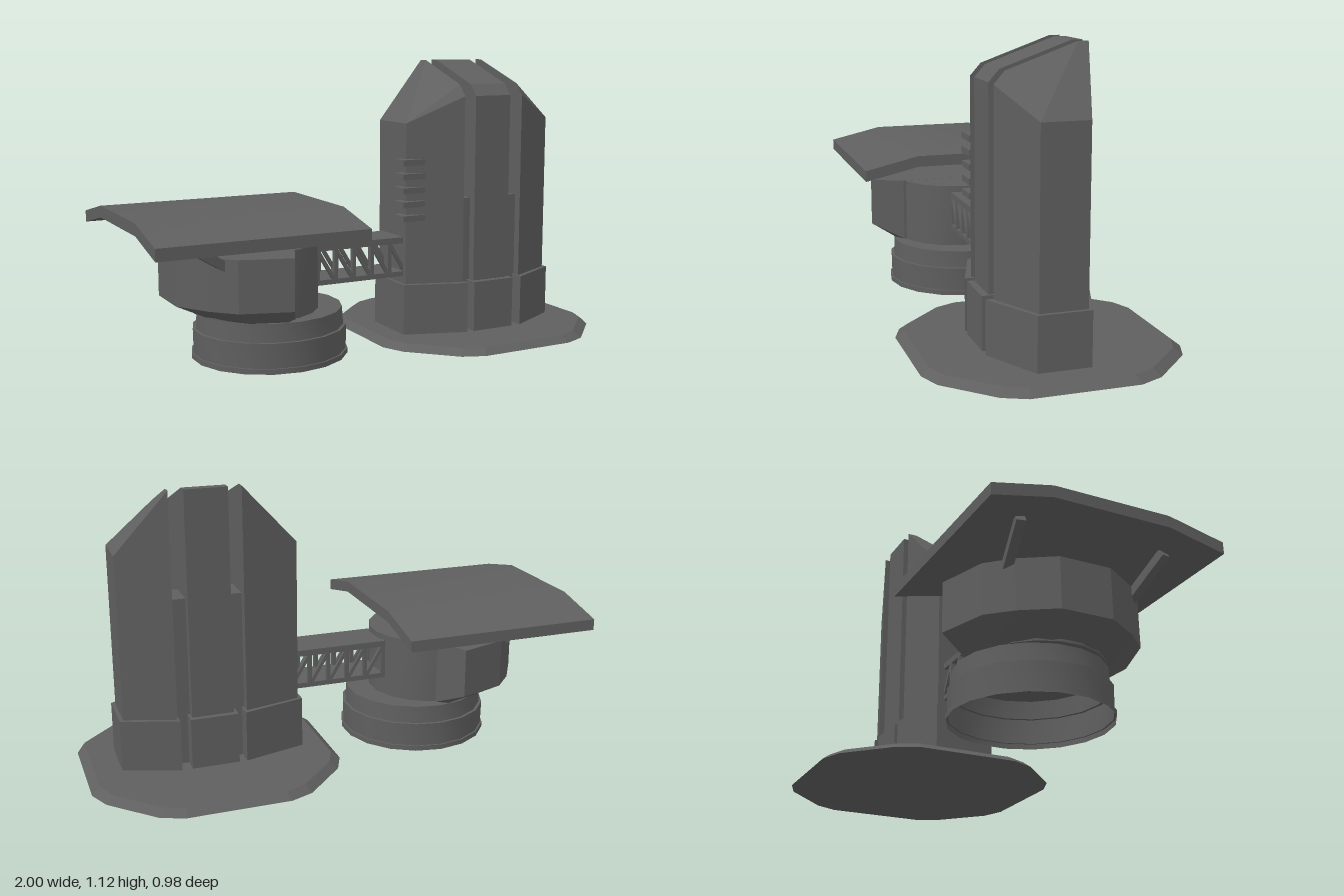
import * as THREE from 'three';
import { ConvexGeometry } from 'three/addons/geometries/ConvexGeometry.js';
import { toCreasedNormals } from 'three/addons/utils/BufferGeometryUtils.js';

const mat = new THREE.MeshStandardMaterial({ color: 0x5f5f5f, side: THREE.DoubleSide });
const V = (x, y, z) => new THREE.Vector3(x, y, z);

export function createModel() {
  const model = new THREE.Group();

  const group = (name) => {
    const g = new THREE.Group();
    g.name = name;
    model.add(g);
    return g;
  };
  const add = (name, geometry, parent = model) => {
    const mesh = new THREE.Mesh(geometry, mat);
    mesh.name = name;
    parent.add(mesh);
    return mesh;
  };
  const hull = (name, points, parent) => add(name, new ConvexGeometry(points), parent);
  // Box given by its limits on each axis
  const box = (name, x0, x1, y0, y1, z0, z1, parent) => {
    const mesh = add(name, new THREE.BoxGeometry(x1 - x0, y1 - y0, z1 - z0), parent);
    mesh.position.set((x0 + x1) / 2, (y0 + y1) / 2, (z0 + z1) / 2);
    return mesh;
  };
  // Square bar between two points
  const beam = (name, a, b, size, parent) => {
    const mesh = add(name, new THREE.BoxGeometry(size, size, a.distanceTo(b)), parent);
    mesh.position.copy(a).add(b).multiplyScalar(0.5);
    mesh.lookAt(b);
    return mesh;
  };

  // Landing platform: chamfered octagon with a bevelled rim
  const rim = [];
  for (const [a, b] of [[0.495, 0.2], [0.455, 0.29], [0.29, 0.455], [0.2, 0.49]])
    for (const sx of [-1, 1])
      for (const sz of [-1, 1])
        rim.push(V(0.505 + sx * a, 0, sz * b), V(0.505 + sx * a * 0.935, 0.025, sz * b * 0.935));
  hull('platform', rim);

  // Tower: [z, y] roof profile shared by the middle and the side shafts
  const tower = group('tower');
  const roof = [[0.213, 0.02], [0.213, 0.985], [0.173, 1.03], [-0.09, 1.123], [-0.13, 1.123], [-0.13, 0.02]];
  const outline = (z0, z1, y0, y1) => [[z1, y0], [z1, y1], [z0, y1], [z0, y0]];
  const shaft = (name, x0, x1, p0, p1) =>
    hull(name, [...p0.map(([z, y]) => V(x0, y, z)), ...p1.map(([z, y]) => V(x1, y, z))], tower);
  shaft('middleShaft', 0.425, 0.592, roof, roof);
  shaft('rightShaft', 0.145, 0.373, outline(-0.075, 0.14, 0.02, 0.88), roof);
  shaft('leftShaft', 0.65, 0.848, roof, outline(-0.065, 0.115, 0.02, 0.88));

  // Plinth under each shaft
  const wide = outline(-0.152, 0.24, 0.01, 0.23);
  shaft('middlePlinth', 0.413, 0.602, wide, wide);
  shaft('rightPlinth', 0.13, 0.382, outline(-0.085, 0.155, 0.01, 0.23), wide);
  shaft('leftPlinth', 0.643, 0.863, wide, outline(-0.075, 0.125, 0.01, 0.23));

  // Recessed fillers between the shafts, lower at the front
  for (const x of [0.398, 0.622]) {
    box('rearFiller', x - 0.035, x + 0.035, 0.01, 0.7, -0.09, 0.04, tower);
    box('frontFiller', x - 0.035, x + 0.035, 0.01, 0.57, 0.04, 0.18, tower);
  }

  // Cooling fins on the tower corner
  for (let i = 0; i < 5; i++) {
    const y = 0.49 + i * 0.056;
    box('fin', 0.115, 0.215, y, y + 0.024, 0.1, 0.172, tower);
  }

  // Covered truss bridge
  const bridge = group('bridge');
  box('bridgeRoof', -0.25, 0.15, 0.395, 0.42, -0.05, 0.12, bridge);
  box('bridgeDeck', -0.25, 0.15, 0.26, 0.28, -0.05, 0.12, bridge);
  for (const z of [-0.042, 0.112])
    for (let i = 0; i < 5; i++) {
      const x = -0.237 + i * 0.08;
      beam('bridgePost', V(x, 0.27, z), V(x, 0.405, z), 0.016, bridge);
      beam('bridgeBrace', V(x, 0.4, z), V(x + 0.075, 0.275, z), 0.014, bridge);
    }

  // Round station: hollow foot ring with a closed ceiling
  const station = group('station');
  const foot = [[0.305, 0], [0.305, 0.02], [0.298, 0.02], [0.3, 0.115], [0.288, 0.115], [0.284, 0.185], [0, 0.185]];
  const footLathe = new THREE.LatheGeometry(foot.map(([r, y]) => new THREE.Vector2(r, y)), 18);
  const ring = add('footRing', toCreasedNormals(footLathe, 0.6), station);
  ring.position.set(-0.41, 0, 0.04);

  // Cabin: bulging half with a sloped underside, [x, half depth]
  const cx = -0.41, cz = 0.04, cabin = [];
  for (const [x, d] of [[-0.82, 0.1], [-0.74, 0.23], [-0.66, 0.315], [-0.47, 0.376]])
    for (const s of [-1, 1])
      cabin.push(
        V(x, 0.445, cz + s * d),
        V(x, 0.25, cz + s * d),
        V(cx + (x - cx) * 0.69, 0.186, cz + s * d * 0.73));
  for (const s of [-1, 1])
    for (const y of [0.186, 0.445]) cabin.push(V(cx, y, cz + s * 0.245));
  hull('cabin', cabin, station);

  // Drum facing the bridge
  const drum = add('drum', toCreasedNormals(new THREE.CylinderGeometry(0.245, 0.245, 0.259, 18), 0.6), station);
  drum.position.set(-0.47, 0.315, cz);

  // Canopy: bent sheet profile [z, y] extruded along x
  const sheet = [[0.49, 0.54], [0.27, 0.59], [-0.18, 0.59], [-0.41, 0.54],
    [-0.41, 0.495], [-0.18, 0.545], [0.27, 0.545], [0.49, 0.495]];
  const canopyShape = new THREE.Shape(sheet.map(([z, y]) => new THREE.Vector2(-z, y)));
  const canopySheet = new THREE.ExtrudeGeometry(canopyShape, { depth: 0.8, bevelEnabled: false });
  const canopy = add('canopy', toCreasedNormals(canopySheet, 0.6));
  canopy.rotation.y = Math.PI / 2;
  canopy.position.x = -1;

  // Slanted canopy struts
  for (const s of [-1, 1])
    beam('canopyStrut', V(-0.87, 0.525, 0.05 + s * 0.285), V(-0.69, 0.415, 0.05 + s * 0.25), 0.034);

  return model;
}
